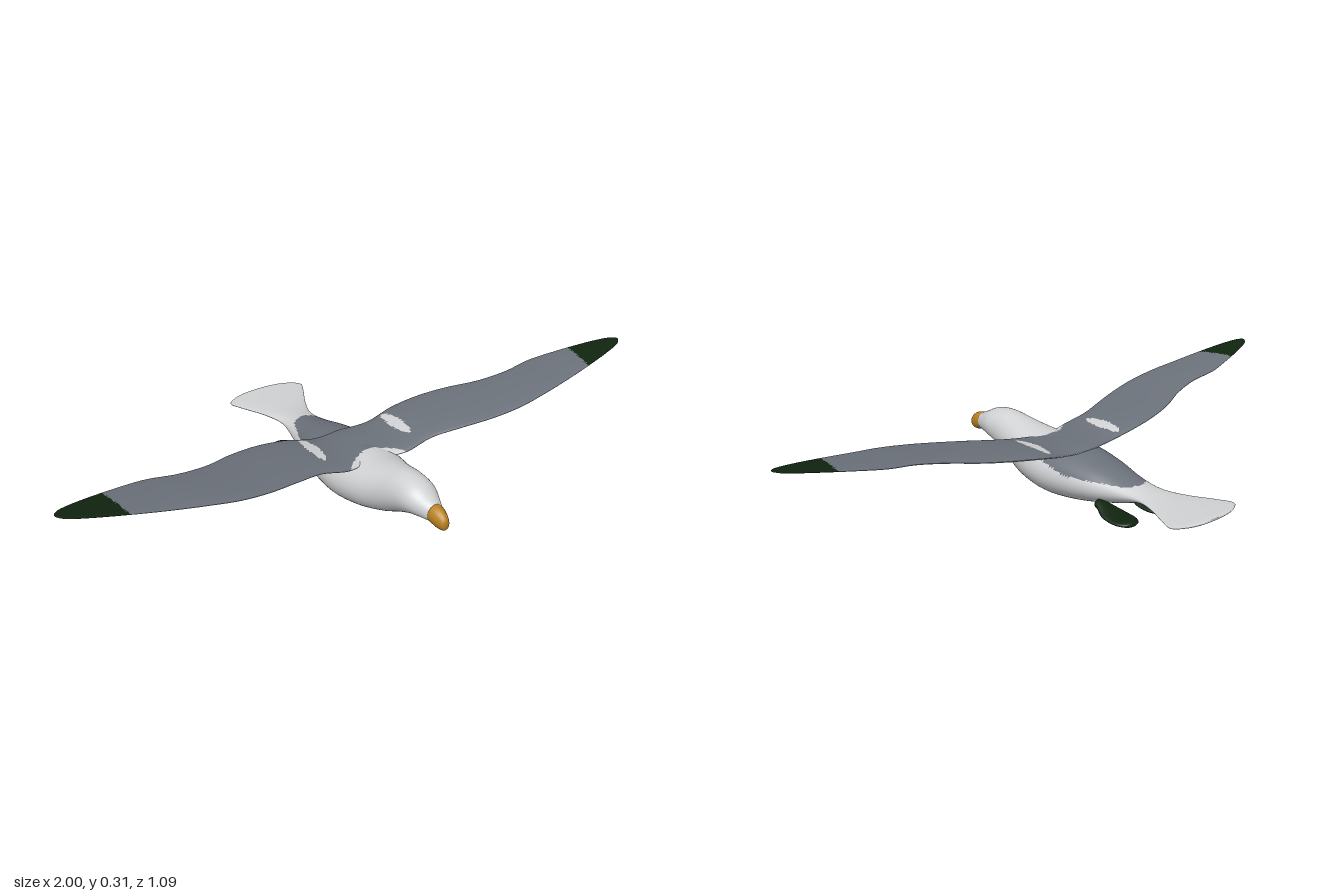
import * as THREE from 'three';

const mat = (name, color) => Object.assign(new THREE.MeshStandardMaterial({ color }), { name });

// Smoothly resample rows of numbers (Catmull-Rom through every column)
function resample(rows, steps) {
  const out = [], last = rows.length - 1;
  for (let s = 0; s <= steps; s++) {
    const f = (s / steps) * last, i = Math.min(Math.floor(f), last - 1), t = f - i;
    const [a, b, c, d] = [i - 1, i, i + 1, i + 2].map(k => rows[Math.min(Math.max(k, 0), last)]);
    out.push(b.map((_, k) => b[k] + 0.5 * t * (c[k] - a[k]
      + t * (2 * a[k] - 5 * b[k] + 4 * c[k] - d[k] + t * (3 * (b[k] - c[k]) + d[k] - a[k])))));
  }
  return out;
}

// Skin closed rings of points; pick(x, y, z, angle) chooses the material of each face
function loft(name, rings, materials, pick = () => 0, flip = false) {
  const n = rings[0].length, pts = rings.flat(), faces = materials.map(() => []);
  const add = (tri, angle) => {
    const [x, y, z] = [0, 1, 2].map(k => (pts[tri[0]][k] + pts[tri[1]][k] + pts[tri[2]][k]) / 3);
    faces[pick(x, y, z, angle)].push(...(flip ? [tri[0], tri[2], tri[1]] : tri));
  };
  for (let i = 0; i < rings.length - 1; i++) {
    for (let j = 0; j < n; j++) {
      const k = (j + 1) % n, a = i * n + j, b = i * n + k, c = a + n, d = b + n;
      const angle = ((j + 0.5) / n) * Math.PI * 2;
      add([a, b, c], angle);
      add([b, d, c], angle);
    }
  }
  const geo = new THREE.BufferGeometry();
  geo.setAttribute('position', new THREE.Float32BufferAttribute(pts.flat(), 3));
  geo.setIndex(faces.flat());
  let start = 0;
  faces.forEach((f, m) => { geo.addGroup(start, f.length, m); start += f.length; });
  geo.computeVertexNormals();
  const mesh = new THREE.Mesh(geo, materials);
  mesh.name = name;
  return mesh;
}

const around = (n, fn) => Array.from({ length: n }, (_, j) => {
  const a = (j / n) * Math.PI * 2;
  return fn(Math.cos(a), Math.sin(a));
});

// Rows [z, bottom, top, half width], from back to front
const alongZ = (rows, steps, n, x0 = 0) => resample(rows, steps).map(([z, lo, hi, w]) =>
  around(n, (c, s) => [x0 + w * c, (lo + hi) / 2 + (hi - lo) / 2 * s, z]));

export function createModel() {
  const white = mat('white plumage', 0xcfd1d3);
  const grey = mat('grey plumage', 0x6b717a);
  const dark = mat('dark green black', 0x10240f);
  const orange = mat('beak orange', 0xb98220);
  const bird = new THREE.Group();
  bird.name = 'seabird';

  // Front edge of the grey mantle curves back around the neck
  const behindNeck = (x, z) => z < 0.14 + 6 * x * x;

  // Body, head and fanned tail
  const bodyRows = [
    [-0.545, 0.092, 0.095, 0.0], [-0.543, 0.09, 0.098, 0.06], [-0.53, 0.088, 0.1, 0.105],
    [-0.50, 0.087, 0.1, 0.14], [-0.45, 0.087, 0.101, 0.122], [-0.37, 0.085, 0.104, 0.082],
    [-0.29, 0.075, 0.113, 0.058], [-0.2, 0.048, 0.132, 0.07], [-0.1, 0.024, 0.158, 0.098],
    [0.0, 0.008, 0.178, 0.115], [0.1, 0.004, 0.188, 0.12], [0.2, 0.02, 0.194, 0.105],
    [0.28, 0.045, 0.208, 0.08], [0.35, 0.08, 0.219, 0.066], [0.41, 0.107, 0.213, 0.058],
    [0.455, 0.117, 0.193, 0.042], [0.49, 0.122, 0.176, 0.025], [0.495, 0.14, 0.16, 0.01],
  ];
  bird.add(loft('body', alongZ(bodyRows, 170, 56), [white, grey], (x, y, z) =>
    behindNeck(x, z) && z > -0.255 + 12 * x * x
      && y > 0.115 + Math.max(0, z + 0.02) * 0.25 ? 1 : 0));

  // Hooked beak
  const beakRows = [
    [0.475, 0.125, 0.175, 0.024], [0.49, 0.119, 0.178, 0.027], [0.51, 0.114, 0.175, 0.024],
    [0.53, 0.114, 0.165, 0.018], [0.542, 0.121, 0.152, 0.011], [0.545, 0.135, 0.137, 0.0],
  ];
  bird.add(loft('beak', alongZ(beakRows, 24, 20), [orange]));

  // Wings: rows [x, leading z, trailing z, height, thickness]
  const wingRows = [
    [0, 0.17, -0.03, 0.172, 0.034], [0.1, 0.2, -0.02, 0.176, 0.034],
    [0.2, 0.198, -0.03, 0.196, 0.03], [0.3, 0.222, -0.024, 0.212, 0.026],
    [0.4, 0.246, 0.0, 0.226, 0.023], [0.5, 0.258, 0.04, 0.241, 0.021],
    [0.6, 0.254, 0.06, 0.257, 0.019], [0.7, 0.242, 0.058, 0.271, 0.014],
    [0.8, 0.227, 0.078, 0.286, 0.011], [0.9, 0.208, 0.105, 0.301, 0.009],
    [0.97, 0.189, 0.13, 0.311, 0.007], [0.995, 0.172, 0.15, 0.315, 0.005],
    [1.0, 0.161, 0.16, 0.316, 0.001],
  ];
  const wingColour = (x, y, z, angle) => {
    const ax = Math.abs(x), upper = angle < Math.PI;
    if (ax > 0.86 - 0.2 * z) return 2;
    if (!upper) return ax > 0.65 ? 1 : 0;
    const patch = ((ax - 0.153) / 0.02) ** 2 + ((z - 0.065) / 0.075) ** 2 < 1;
    return patch || !behindNeck(x, z) ? 0 : 1;
  };
  for (const side of [1, -1]) {
    const label = side > 0 ? 'left' : 'right';
    const rings = resample(wingRows, 156).map(([x, lead, trail, y, t]) =>
      around(48, (c, s) => [side * x, y + t / 2 * s, (lead + trail) / 2 + (lead - trail) / 2 * c]));
    bird.add(loft(label + 'Wing', rings, [white, grey, dark], wingColour, side > 0));

    // Webbed foot trailing under the tail
    const footRows = [
      [-0.297, 0.02, 0.022, 0.0], [-0.29, 0.014, 0.03, 0.026], [-0.265, 0.013, 0.032, 0.042],
      [-0.23, 0.015, 0.036, 0.045], [-0.195, 0.02, 0.045, 0.04], [-0.165, 0.031, 0.058, 0.026],
      [-0.145, 0.036, 0.062, 0.018], [-0.135, 0.048, 0.05, 0.0],
    ];
    bird.add(loft(label + 'Foot', alongZ(footRows, 28, 20, side * 0.074), [dark]));
  }
  return bird;
}
